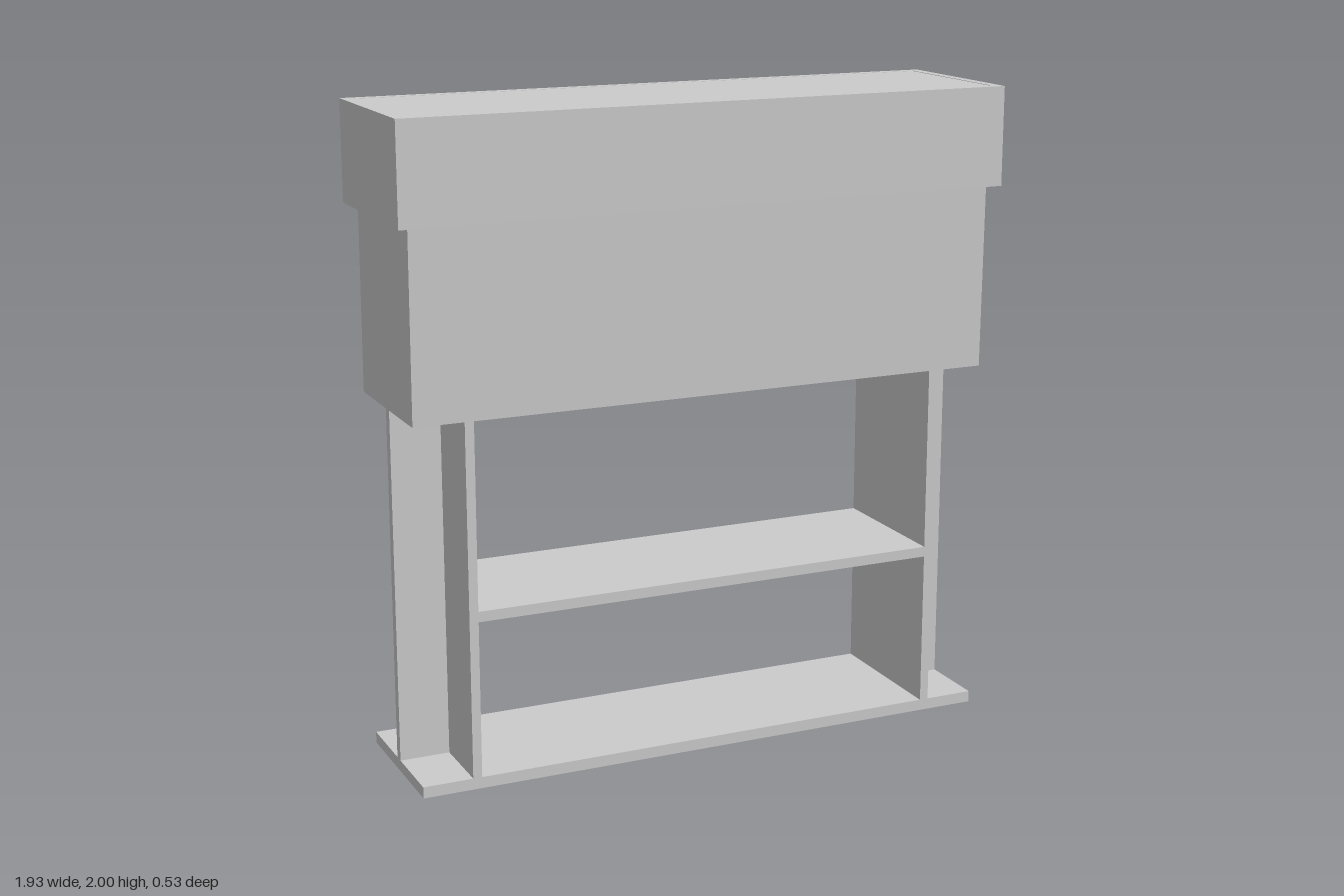
import * as THREE from 'three';

export function createModel() {
  const group = new THREE.Group();
  const material = new THREE.MeshStandardMaterial({ color: 0xcccccc, flatShading: true });

  // Board given by its extents on each axis
  function board(name, [x0, x1], [y0, y1], [z0, z1]) {
    const mesh = new THREE.Mesh(new THREE.BoxGeometry(x1 - x0, y1 - y0, z1 - z0), material);
    mesh.position.set((x0 + x1) / 2, (y0 + y1) / 2, (z0 + z1) / 2);
    mesh.name = name;
    group.add(mesh);
    return mesh;
  }

  const depth = [-0.238, 0.228];
  const legHeight = [0.035, 1.125];

  // Base and shelf
  board('base', [-0.93, 0.93], [0, 0.035], depth);
  board('shelf', [-0.747, 0.747], [0.52, 0.552], depth);

  // T-shaped legs: a deep panel with a rib on its outer face
  for (const [side, s] of [['left', 1], ['right', -1]]) {
    const span = (a, b) => (s > 0 ? [a, b] : [-b, -a]);
    board(side + 'LegPanel', span(0.747, 0.775), legHeight, depth);
    board(side + 'LegRib', span(0.775, 0.93), legHeight, [-0.02, 0.01]);
  }

  // Cabinet body, leaning very slightly forward
  const cabinet = board('cabinet', [-0.93, 0.926], [1.125, 2], [-0.234, 0.234]);
  cabinet.geometry.translate(0, 0, 0);
  const p = cabinet.geometry.attributes.position;
  for (let i = 0; i < p.count; i++) p.setZ(i, p.getZ(i) + p.getY(i) * 0.0125);
  cabinet.geometry.computeVertexNormals();

  // Rim of boards around the top of the cabinet
  const rim = [1.695, 2];
  board('rimFront', [-0.965, 0.962], rim, [0.235, 0.265]);
  board('rimBack', [-0.965, 0.932], rim, [-0.264, -0.235]);
  board('rimLeft', [0.932, 0.962], rim, [-0.264, 0.235]);
  board('rimRight', [-0.965, -0.93], rim, [-0.235, 0.235]);

  return group;
}
